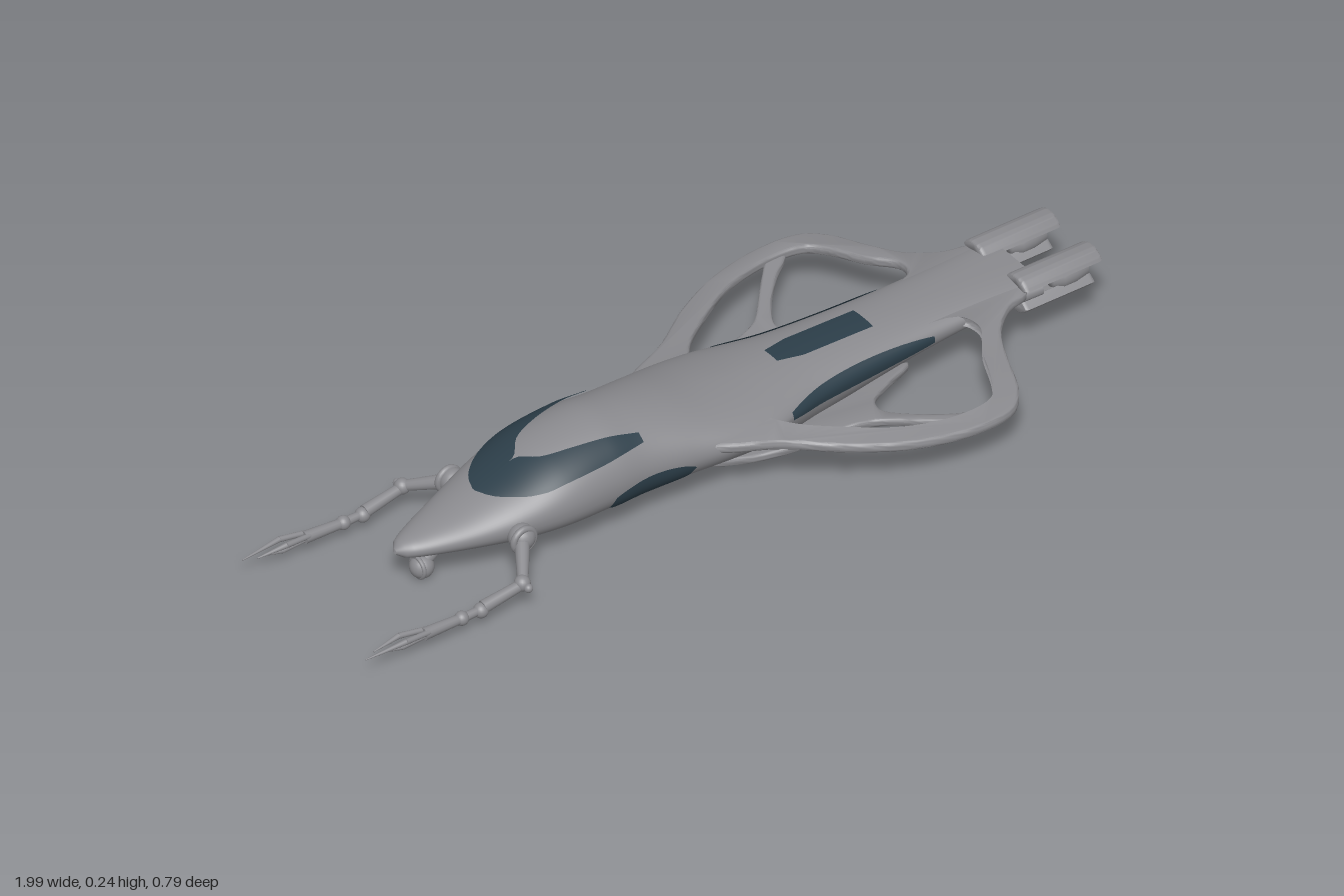
import * as THREE from 'three';
import { mergeVertices, toCreasedNormals } from 'three/addons/utils/BufferGeometryUtils.js';

const grey = new THREE.MeshStandardMaterial({ color: 0x8a8a8e, side: THREE.DoubleSide });
grey.name = 'hull grey';
const glass = new THREE.MeshStandardMaterial({ color: 0x2c3e49, side: THREE.DoubleSide });
glass.name = 'dark glass';

// Hull stations: x, top, waist height, bottom, half width, upper roundness, lower roundness
const stations = [
  [-0.765, 0.100, 0.094, 0.088, 0.006, 2, 2],
  [-0.75, 0.113, 0.095, 0.078, 0.026, 2, 2],
  [-0.70, 0.126, 0.098, 0.070, 0.052, 2, 2],
  [-0.60, 0.150, 0.105, 0.058, 0.090, 2, 2.1],
  [-0.50, 0.184, 0.116, 0.047, 0.122, 2, 2.2],
  [-0.40, 0.222, 0.125, 0.043, 0.140, 2, 2.3],
  [-0.28, 0.242, 0.128, 0.040, 0.140, 2, 2.3],
  [-0.20, 0.236, 0.128, 0.039, 0.138, 2, 2.2],
  [-0.10, 0.220, 0.127, 0.038, 0.150, 2, 2],
  [0.00, 0.200, 0.126, 0.034, 0.164, 1.9, 1.8],
  [0.10, 0.187, 0.126, 0.018, 0.162, 1.8, 1.7],
  [0.18, 0.181, 0.126, 0.010, 0.142, 1.9, 1.8],
  [0.26, 0.178, 0.126, 0.015, 0.122, 2, 1.9],
  [0.40, 0.175, 0.128, 0.042, 0.107, 2.1, 2],
  [0.55, 0.171, 0.132, 0.070, 0.100, 2.2, 2],
  [0.70, 0.167, 0.137, 0.099, 0.100, 2.4, 2.2],
  [0.84, 0.164, 0.139, 0.114, 0.108, 2.6, 2.5],
];

// Smooth interpolation of a table whose first column is x
function sample(table, x) {
  const last = table.length - 1;
  let i = 0;
  while (i < last - 1 && x > table[i + 1][0]) i++;
  const a = table[i], b = table[i + 1], p = table[Math.max(i - 1, 0)], q = table[Math.min(i + 2, last)];
  const h = b[0] - a[0], t = THREE.MathUtils.clamp((x - a[0]) / h, 0, 1);
  return a.slice(1).map((v, k) => {
    const m0 = (b[k + 1] - p[k + 1]) / (b[0] - p[0]) * h, m1 = (q[k + 1] - v) / (q[0] - a[0]) * h;
    const t2 = t * t, t3 = t2 * t;
    return (2 * t3 - 3 * t2 + 1) * v + (t3 - 2 * t2 + t) * m0 + (3 * t2 - 2 * t3) * b[k + 1] + (t3 - t2) * m1;
  });
}

// Surface from a function of u and v in 0..1
function surface(fn, nu, nv) {
  const pos = [], index = [];
  for (let i = 0; i <= nu; i++) for (let j = 0; j <= nv; j++) pos.push(...fn(i / nu, j / nv));
  for (let i = 0; i < nu; i++) for (let j = 0; j < nv; j++) {
    const a = i * (nv + 1) + j, b = a + nv + 1;
    index.push(a, a + 1, b, b, a + 1, b + 1);
  }
  const raw = new THREE.BufferGeometry();
  raw.setAttribute('position', new THREE.Float32BufferAttribute(pos, 3));
  raw.setIndex(index);
  const geo = mergeVertices(raw, 1e-5);
  geo.computeVertexNormals();
  return geo;
}

function hullPoint(x, angle) {
  const [top, mid, bottom, w, nt, nb] = sample(stations, x);
  const c = Math.cos(angle), s = Math.sin(angle), e = 2 / (c > 0 ? nt : nb);
  const z = w * Math.sign(s) * Math.abs(s) ** e;
  let y = mid + (c > 0 ? top - mid : bottom - mid) * Math.abs(c) ** e;
  // Valley between the twin belly bulges
  if (c < 0) y += 0.022 * Math.exp(-((z / 0.03) ** 2) - ((x - 0.2) / 0.13) ** 2);
  return [x, y, z];
}
function topY(x, z) {
  const [top, mid, , w, n] = sample(stations, x);
  return mid + (top - mid) * Math.max(0, 1 - Math.abs(z / w) ** n) ** (1 / n);
}
function sideZ(x, y) {
  const [top, mid, bottom, w, nt, nb] = sample(stations, x);
  const n = y > mid ? nt : nb, h = y > mid ? top - mid : mid - bottom;
  return w * Math.max(0, 1 - Math.abs((y - mid) / h) ** n) ** (1 / n);
}

// Bevelled flat part drawn in x and z, then tilted: y = base + slope * |z|
function slab(points, hole, side, thick, base, slope) {
  const curve = (list) => new THREE.CatmullRomCurve3(
    list.map(([x, z]) => new THREE.Vector3(x, z * side, 0)), true, 'centripetal')
    .getPoints(72).slice(0, -1).map((p) => new THREE.Vector2(p.x, p.y));
  const shape = new THREE.Shape(curve(points));
  if (hole) shape.holes.push(new THREE.Path(curve(hole)));
  const bevel = thick * 0.35;
  const geo = new THREE.ExtrudeGeometry(shape, {
    depth: thick - 2 * bevel, bevelThickness: bevel, bevelSize: bevel * 0.8, bevelOffset: -bevel * 0.4, bevelSegments: 3,
  });
  geo.translate(0, 0, -(thick / 2 - bevel)).rotateX(Math.PI / 2);
  const p = geo.attributes.position;
  for (let i = 0; i < p.count; i++) p.setY(i, p.getY(i) + base + slope * Math.abs(p.getZ(i)));
  return toCreasedNormals(geo, 0.7);
}

export function createModel() {
  const model = new THREE.Group();
  const add = (name, geo, mat = grey, parent = model) => {
    const mesh = new THREE.Mesh(geo, mat);
    mesh.name = name;
    parent.add(mesh);
    return mesh;
  };
  const ball = (name, at, r, parent) => add(name, new THREE.SphereGeometry(r, 20, 14), grey, parent).position.set(...at);
  const rod = (name, a, b, ra, rb, parent) => {
    const p = new THREE.Vector3(...a), q = new THREE.Vector3(...b), d = q.clone().sub(p);
    const m = add(name, new THREE.CylinderGeometry(rb, ra, d.length(), 14), grey, parent);
    m.position.copy(p).add(q).multiplyScalar(0.5);
    m.quaternion.setFromUnitVectors(new THREE.Vector3(0, 1, 0), d.normalize());
  };

  // Hull and flat tail end
  add('hull', surface((u, v) => hullPoint(-0.765 + 1.605 * u, v * Math.PI * 2), 110, 72));
  add('tailEnd', surface((u, v) => {
    const [x, y, z] = hullPoint(0.84, v * Math.PI * 2);
    return [x, 0.139 + (y - 0.139) * (1 - u), z * (1 - u)];
  }, 1, 72));

  // Wraparound canopy: x, inner edge, outer edge
  const canopy = [[-0.56, 0, 0.004], [-0.545, 0, 0.04], [-0.5, 0, 0.082], [-0.455, 0.003, 0.105],
    [-0.42, 0.04, 0.113], [-0.36, 0.062, 0.118], [-0.28, 0.078, 0.117], [-0.2, 0.09, 0.108]];
  // Dorsal window
  add('dorsalWindow', surface((u, v) => {
    const x = 0.21 + 0.24 * u, z = (v - 0.5) * 0.07 * (0.65 + 0.35 * Math.min(1, u * 4));
    return [x, topY(x, z) + 0.003, z];
  }, 16, 10), glass);

  for (const s of [1, -1]) {
    add('canopyGlass', surface((u, v) => {
      const x = -0.56 + 0.36 * u, [inner, outer] = sample(canopy, x);
      const z = Math.max(0, inner) + (outer - Math.max(0, inner)) * v;
      return [x, topY(x, z) + 0.004, z * s * 1.02];
    }, 36, 12), glass);

    // Side windows: front intake and rear slot
    const sideWindow = (name, x0, x1, y0, y1, lean) => add(name, surface((u, v) => {
      const k = Math.sin(Math.PI * (0.04 + 0.92 * u)) ** 0.45;
      const dy = (v - 0.5) * (y1 - y0) * k, x = x0 + (x1 - x0) * u + lean * dy, y = (y0 + y1) / 2 + dy;
      return [x, y, s * (sideZ(x, y) + 0.004)];
    }, 24, 8), glass);
    sideWindow('sideWindow', -0.3, -0.1, 0.072, 0.132, 0.6);
    sideWindow('rearSideWindow', 0.16, 0.56, 0.112, 0.153, 0);

    // Open wing frame and the lower flare with its thin strut
    add('wingFrame', slab(
      [[-0.1, 0.11], [-0.02, 0.165], [0.08, 0.212], [0.2, 0.298], [0.33, 0.363], [0.46, 0.39], [0.56, 0.38], [0.605, 0.335],
        [0.64, 0.25], [0.68, 0.17], [0.74, 0.118], [0.8, 0.098], [0.8, 0.06], [0.4, 0.05], [0, 0.05]],
      [[0.1, 0.13], [0.13, 0.18], [0.22, 0.25], [0.33, 0.315], [0.45, 0.345], [0.54, 0.335], [0.575, 0.29], [0.61, 0.21],
        [0.652, 0.14], [0.63, 0.09], [0.4, 0.075], [0.2, 0.08]],
      s, 0.023, 0.156, -0.12));
    add('wingStrut', slab(
      [[-0.04, 0.08], [0.04, 0.15], [0.14, 0.182], [0.25, 0.19], [0.325, 0.215], [0.37, 0.26], [0.42, 0.315], [0.465, 0.355],
        [0.5, 0.35], [0.44, 0.3], [0.385, 0.24], [0.358, 0.19], [0.375, 0.14], [0.44, 0.1], [0.52, 0.06], [0.2, 0.03]],
      null, s, 0.02, 0.046, 0.175));

    // Split engine pod: upper and lower shells around a nozzle
    const pod = new THREE.Group();
    pod.name = 'enginePod';
    pod.position.set(0, 0.135, s * 0.074);
    model.add(pod);
    for (const [name, mid, length] of [['upperPodShell', Math.PI / 2, 0.2], ['lowerPodShell', -Math.PI / 2, 0.18]]) {
      const arc = new THREE.Shape();
      arc.absarc(0, 0, 0.041, mid - 0.95, mid + 0.95, false);
      arc.absarc(0, 0, 0.025, mid + 0.95, mid - 0.95, true);
      const geo = new THREE.ExtrudeGeometry(arc, { depth: length - 0.02, bevelThickness: 0.01, bevelSize: 0.004, bevelSegments: 3, curveSegments: 16 });
      add(name, toCreasedNormals(geo.rotateY(Math.PI / 2).translate(0.8, 0, 0), 0.7), grey, pod);
    }
    const nozzle = [[0, 0.875], [0.018, 0.878], [0.029, 0.9], [0.029, 0.93], [0.023, 0.965], [0.017, 0.965], [0.014, 0.93], [0, 0.93]];
    add('nozzle', new THREE.LatheGeometry(nozzle.map(([r, x]) => new THREE.Vector2(r, x)), 24).rotateZ(-Math.PI / 2), grey, pod);
    add('nozzleGlow', new THREE.CircleGeometry(0.013, 20).rotateY(Math.PI / 2).translate(0.932, 0, 0), glass, pod);

    // Jointed arm
    const arm = new THREE.Group();
    arm.name = 'arm';
    model.add(arm);
    const at = (x, y, z) => [x, y, z * s];
    ball('shoulder', at(-0.525, 0.102, 0.122), 0.03, arm);
    const collar = add('shoulderCollar', new THREE.TorusGeometry(0.026, 0.008, 10, 24), grey, arm);
    collar.position.set(-0.528, 0.102, s * 0.134);
    rod('upperArm', at(-0.53, 0.1, 0.13), at(-0.585, 0.066, 0.208), 0.017, 0.012, arm);
    ball('elbow', at(-0.59, 0.063, 0.213), 0.018, arm);
    ball('elbowKnob', at(-0.588, 0.06, 0.232), 0.01, arm);
    rod('forearm', at(-0.59, 0.06, 0.213), at(-0.69, 0.042, 0.21), 0.012, 0.015, arm);
    ball('forearmJoint', at(-0.695, 0.036, 0.21), 0.017, arm);
    rod('wrist', at(-0.69, 0.038, 0.21), at(-0.76, 0.036, 0.21), 0.009, 0.011, arm);
    ball('wristJoint', at(-0.745, 0.037, 0.21), 0.016, arm);
    rod('hand', at(-0.75, 0.037, 0.21), at(-0.845, 0.04, 0.212), 0.011, 0.014, arm);
    // Claw fingers
    for (const [dy, dz, tip] of [[0.008, -0.011, -0.97], [0.008, 0.011, -1], [-0.009, 0, -0.95]]) {
      const knuckle = at(-0.9, 0.042 + dy * 1.2, 0.212 + dz * 1.2);
      rod('fingerBase', at(-0.835, 0.04 + dy * 0.6, 0.212 + dz * 0.6), knuckle, 0.006, 0.0065, arm);
      rod('fingerTip', knuckle, at(tip, 0.042 + dy * 0.3, 0.212 + dz * 0.6), 0.0065, 0.0015, arm);
    }
  }

  // Chin sensor ball on a short stalk
  rod('chinStalk', [-0.65, 0.075, 0], [-0.69, 0.035, 0], 0.02, 0.014);
  ball('chinSensor', [-0.695, 0.027, 0], 0.027);
  const ring = add('chinRing', new THREE.TorusGeometry(0.023, 0.005, 10, 24).rotateY(Math.PI / 2));
  ring.position.set(-0.705, 0.028, 0);
  return model;
}
